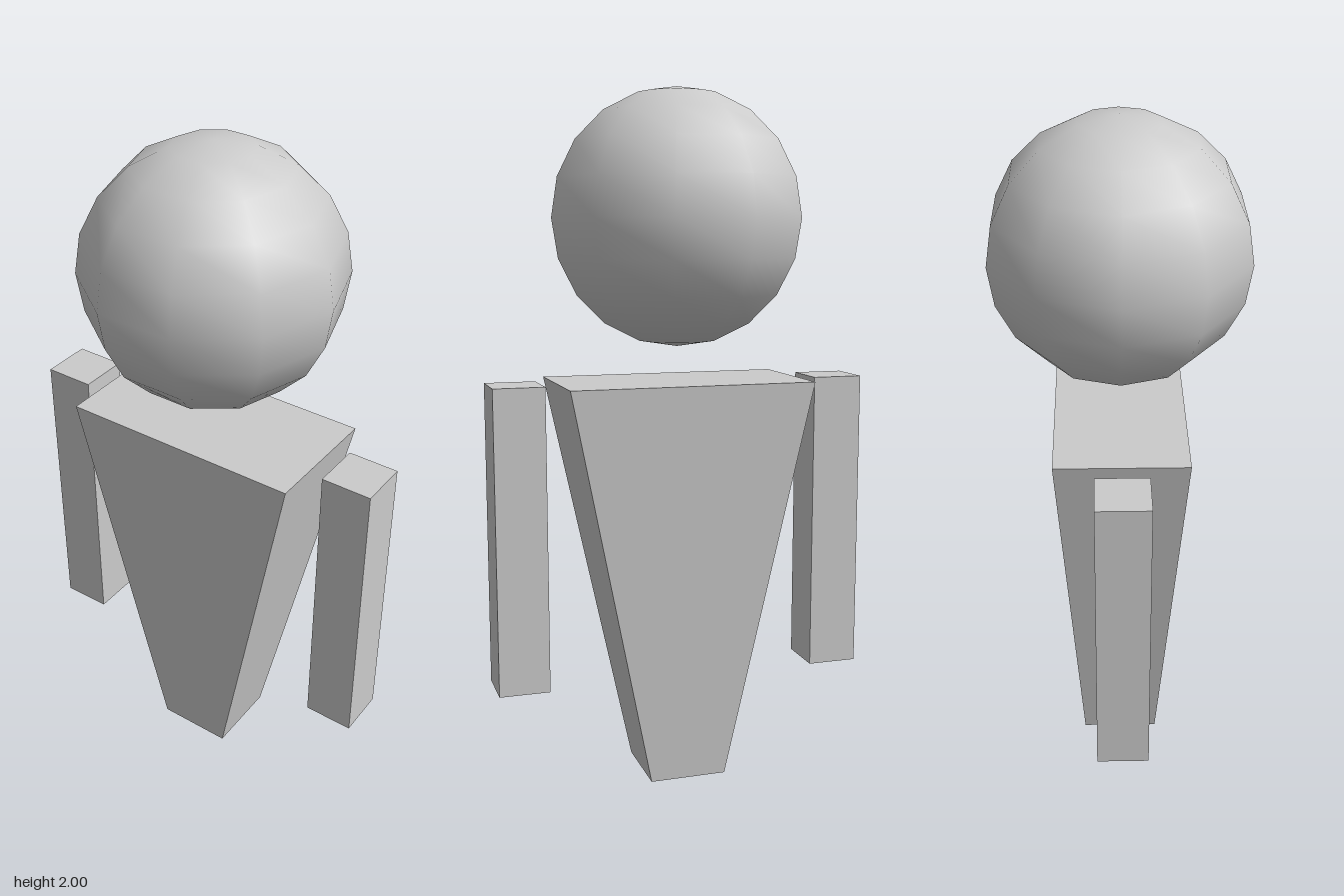
import * as THREE from 'three';

const material = new THREE.MeshStandardMaterial({ color: 0xcccccc });

function addPart(group, name, geometry, x, y) {
  const mesh = new THREE.Mesh(geometry, material);
  mesh.name = name;
  mesh.position.set(x, y, 0);
  group.add(mesh);
}

// Box whose bottom face is narrowed to its own width and depth
function taperedBox(width, height, depth, bottomWidth, bottomDepth) {
  const geometry = new THREE.BoxGeometry(width, height, depth);
  const pos = geometry.attributes.position;
  for (let i = 0; i < pos.count; i++) {
    if (pos.getY(i) < 0) {
      pos.setX(i, Math.sign(pos.getX(i)) * bottomWidth / 2);
      pos.setZ(i, Math.sign(pos.getZ(i)) * bottomDepth / 2);
    }
  }
  geometry.computeVertexNormals();
  return geometry;
}

export function createModel() {
  const group = new THREE.Group();
  group.name = 'figure';

  // Floating round head
  addPart(group, 'head', new THREE.SphereGeometry(0.364, 10, 10), 0, 1.636);

  // Body, wide at the shoulders and narrow at the base
  addPart(group, 'torso', taperedBox(0.714, 1.175, 0.366, 0.226, 0.226), 0, 0.5875);

  // Detached arms
  for (const [name, side] of [['leftArm', 1], ['rightArm', -1]]) {
    addPart(group, name, new THREE.BoxGeometry(0.147, 0.88, 0.147), side * 0.476, 0.735);
  }

  return group;
}
